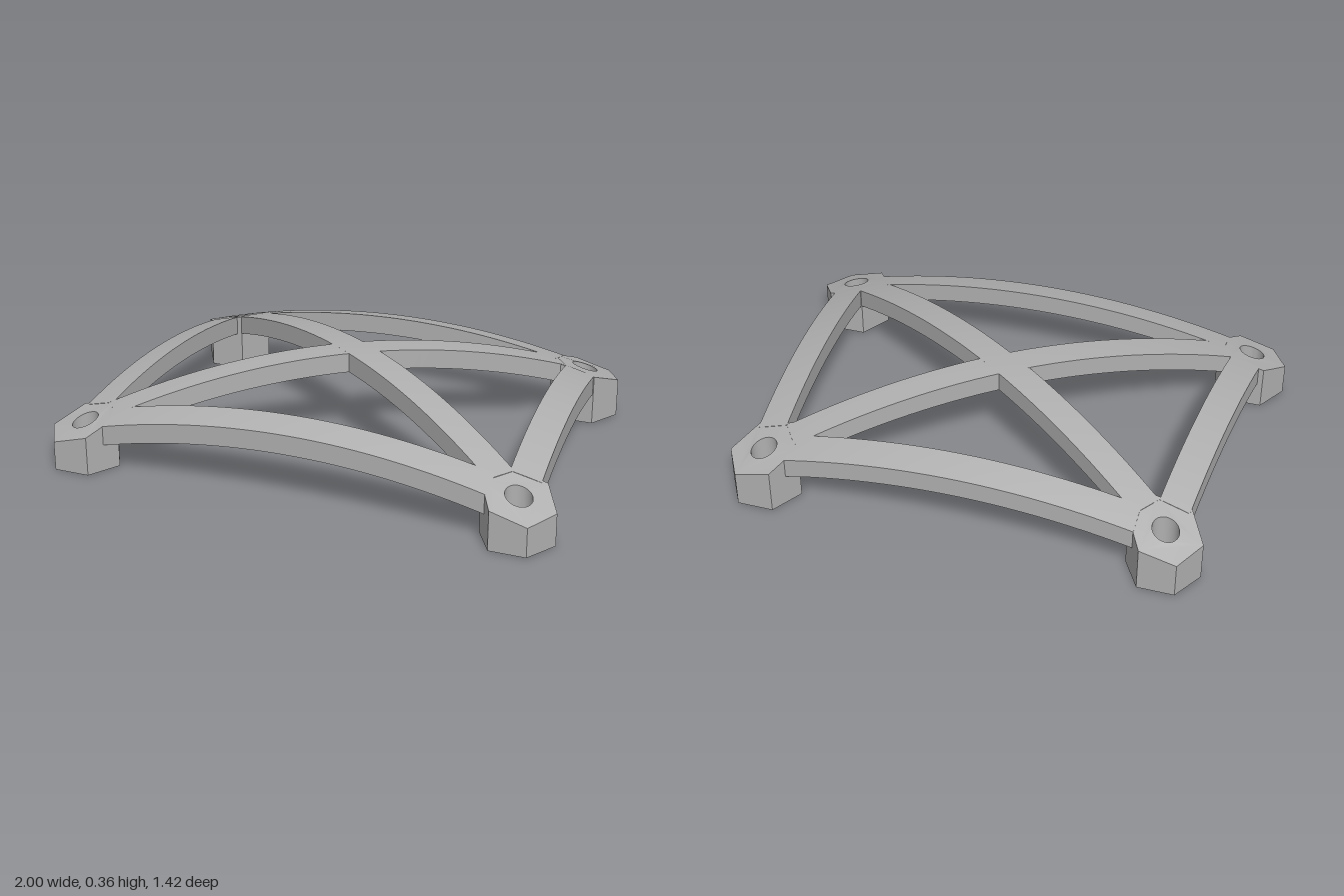
import * as THREE from 'three';
import { toCreasedNormals } from 'three/addons/utils/BufferGeometryUtils.js';

const THICK = 0.077;    // vertical thickness of the ribs
const HALF = 0.058;     // half width of the ribs
const POST_R = 0.14;    // hexagon corner radius
const HOLE_R = 0.05;    // bolt hole radius
const INSET = 0.105;    // ribs stop inside the post, clear of the hole

// Height of the shallow dome that caps every part
const dome = (x, z) => 0.365 - 0.164 * x * x - 0.215 * z * z;

function mapVertices(geometry, rule) {
  const p = geometry.attributes.position;
  const v = new THREE.Vector3();
  for (let i = 0; i < p.count; i++) {
    rule(v.fromBufferAttribute(p, i));
    p.setXYZ(i, v.x, v.y, v.z);
  }
  return geometry;
}

// Straight rib in plan, bent vertically to follow the dome
function ribGeometry([ax, az], [bx, bz]) {
  const dx = bx - ax, dz = bz - az;
  const g = new THREE.BoxGeometry(Math.hypot(dx, dz) - 2 * INSET, THICK, 2 * HALF, 48, 1, 4);
  g.rotateY(-Math.atan2(dz, dx));
  g.translate((ax + bx) / 2, -THICK / 2, (az + bz) / 2);
  mapVertices(g, v => { v.y += dome(v.x, v.z); });
  g.computeVertexNormals();
  return g;
}

// Hexagonal post with a through hole and a dome-shaped top
function postGeometry([x, z]) {
  const hex = new THREE.Shape();
  for (let i = 0; i < 6; i++) {
    const a = i * Math.PI / 3;
    hex[i ? 'lineTo' : 'moveTo'](POST_R * Math.cos(a), POST_R * Math.sin(a));
  }
  hex.closePath();
  hex.holes.push(new THREE.Path().absarc(0, 0, HOLE_R, 0, Math.PI * 2, true));
  const g = new THREE.ExtrudeGeometry(hex, { depth: 1, bevelEnabled: false, curveSegments: 16 });
  g.rotateX(-Math.PI / 2);
  g.translate(x, 0, z);
  mapVertices(g, v => { v.y = v.y > 0.5 ? dome(v.x, v.z) : 0; });
  g.computeVertexNormals();
  return toCreasedNormals(g, 0.6);
}

export function createModel() {
  const group = new THREE.Group();
  const grey = new THREE.MeshStandardMaterial({ color: 0xb0b0b0 });
  grey.name = 'grey';

  const add = (name, geometry) => {
    const mesh = new THREE.Mesh(geometry, grey);
    mesh.name = name;
    group.add(mesh);
  };

  // Post centres in plan: the front pair stands wider than the back pair
  const corners = {
    frontLeft: [0.86, 0.59],
    frontRight: [-0.86, 0.59],
    backLeft: [0.775, -0.59],
    backRight: [-0.775, -0.59],
  };
  for (const [name, c] of Object.entries(corners)) add(name + 'Post', postGeometry(c));

  // Four edge ribs and two crossing diagonals
  const ribs = [
    ['frontRib', 'frontRight', 'frontLeft'],
    ['backRib', 'backRight', 'backLeft'],
    ['leftRib', 'frontLeft', 'backLeft'],
    ['rightRib', 'frontRight', 'backRight'],
    ['diagonalRibA', 'frontRight', 'backLeft'],
    ['diagonalRibB', 'backRight', 'frontLeft'],
  ];
  for (const [name, a, b] of ribs) add(name, ribGeometry(corners[a], corners[b]));

  return group;
}
